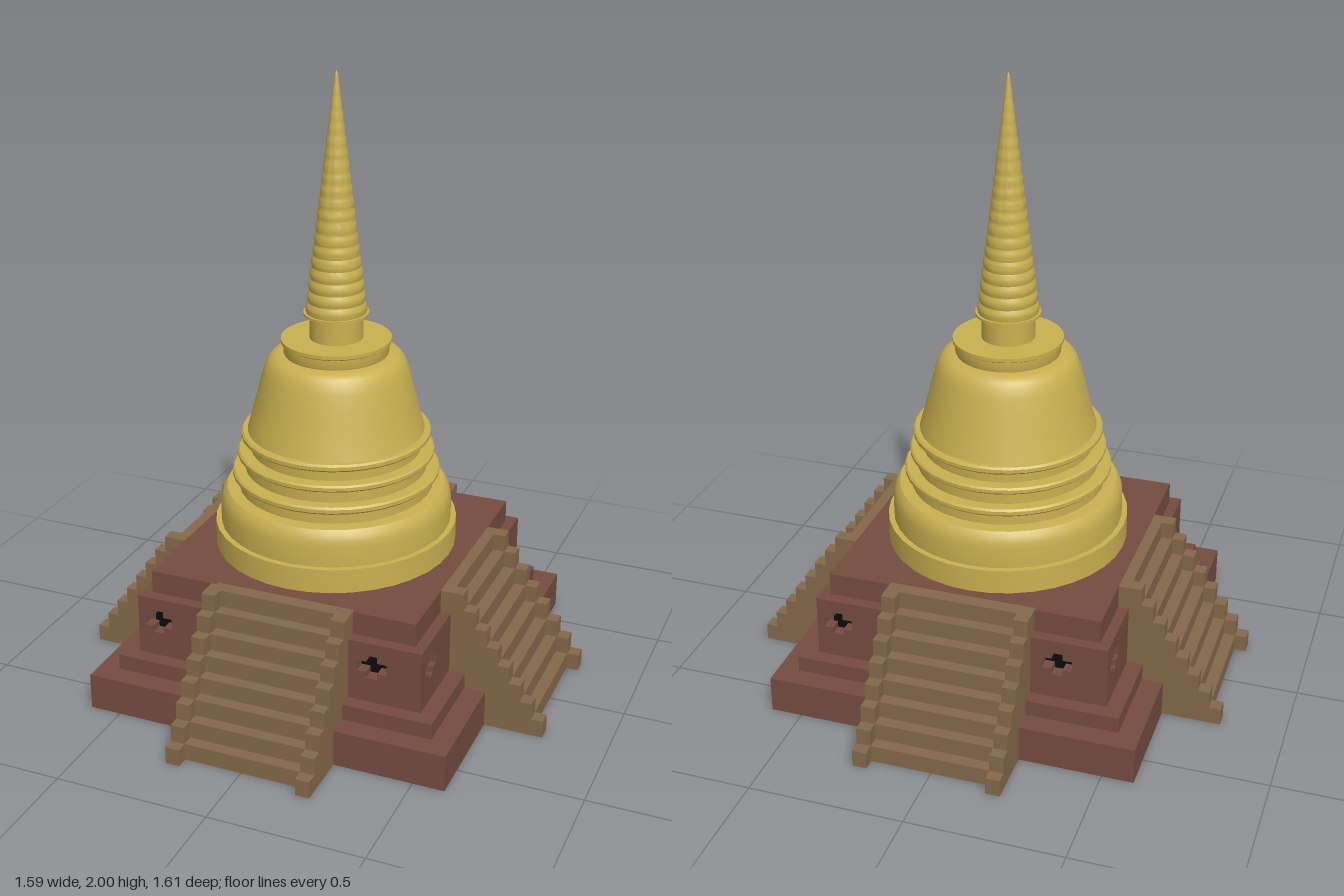
import * as THREE from 'three';
import { toCreasedNormals } from 'three/addons/utils/BufferGeometryUtils.js';

const material = (color) => new THREE.MeshStandardMaterial({ color });
const gold = material(0xc8b050);
const brick = material(0x744c40);
const wood = material(0x84684a);
const dark = material(0x0c0c0c);

function add(parent, name, geometry, mat, x = 0, y = 0, z = 0) {
  const mesh = new THREE.Mesh(geometry, mat);
  mesh.name = name;
  mesh.position.set(x, y, z);
  parent.add(mesh);
  return mesh;
}

function tier(parent, name, halfX, halfZ, y0, y1, mat = brick) {
  return add(parent, name, new THREE.BoxGeometry(halfX * 2, y1 - y0, halfZ * 2), mat, 0, (y0 + y1) / 2, 0);
}

// Stepped side profile extruded across the flight; outward is +x
const STEPS = 8, RISE = 0.45 / STEPS, RUN = 0.0388, INNER = 0.447;
function stepped(outer, width) {
  const s = new THREE.Shape();
  s.moveTo(INNER, 0);
  for (let i = 0; i < STEPS; i++) {
    s.lineTo(outer - i * RUN, i * RISE);
    s.lineTo(outer - i * RUN, (i + 1) * RISE);
  }
  s.lineTo(INNER, STEPS * RISE);
  return new THREE.ExtrudeGeometry(s, { depth: width, bevelEnabled: false }).translate(0, 0, -width / 2);
}

function staircase(outer) {
  const g = new THREE.Group();
  g.name = 'staircase';
  add(g, 'treads', stepped(outer - RUN, 0.386), wood);
  for (const s of [-1, 1]) add(g, 'steppedRail', stepped(outer, 0.046), wood, 0, 0, s * 0.216);
  return g;
}

// Wall panel pierced by two cross-shaped openings, facing +z
function crossHole(cx, cy) {
  const a = 0.048, b = 0.039, t = 0.018;
  const pts = [[t, -b], [t, -t], [a, -t], [a, t], [t, t], [t, b], [-t, b], [-t, t], [-a, t], [-a, -t], [-t, -t], [-t, -b]];
  return new THREE.Path(pts.map(([x, y]) => new THREE.Vector2(cx + x, cy + y)));
}

function wallPanel(halfWidth, depth) {
  const s = new THREE.Shape();
  s.moveTo(-halfWidth, 0.17);
  s.lineTo(halfWidth, 0.17);
  s.lineTo(halfWidth, 0.375);
  s.lineTo(-halfWidth, 0.375);
  s.closePath();
  s.holes.push(crossHole(-0.41, 0.293), crossHole(0.32, 0.293));
  return new THREE.ExtrudeGeometry(s, { depth, bevelEnabled: false });
}

function turned(profile) {
  const pts = profile.map(([r, y]) => new THREE.Vector2(r, y));
  return toCreasedNormals(new THREE.LatheGeometry(pts, 36), 0.5);
}

export function createModel() {
  const model = new THREE.Group();
  model.name = 'stupa';

  // Square terraces
  const base = new THREE.Group();
  base.name = 'terracedBase';
  model.add(base);
  tier(base, 'lowerTerrace', 0.602, 0.616, 0, 0.12);
  tier(base, 'middleTerrace', 0.533, 0.546, 0.12, 0.172);
  tier(base, 'recessBacking', 0.441, 0.457, 0.17, 0.372, dark);
  tier(base, 'topTerrace', 0.447, 0.46, 0.37, 0.45);

  // Walls and stairs on all four sides
  const halfX = 0.481, halfZ = 0.498, depth = 0.04;
  for (let i = 0; i < 4; i++) {
    const alongX = i % 2 === 0;
    const side = new THREE.Group();
    side.name = ['frontSide', 'leftSide', 'backSide', 'rightSide'][i];
    side.rotation.y = i * Math.PI / 2;
    base.add(side);
    add(side, 'piercedWall', wallPanel(alongX ? halfX : halfZ - depth, depth), brick,
      0, 0, (alongX ? halfZ : halfX) - depth);
    const stairs = staircase(alongX ? 0.803 : 0.793);
    stairs.rotation.y = -Math.PI / 2;
    stairs.position.x = [0.004, 0.008, -0.004, -0.008][i];
    side.add(stairs);
  }

  // Round body, slightly deeper than wide
  const tower = new THREE.Group();
  tower.name = 'tower';
  tower.position.set(-0.003, 0, -0.006);
  tower.scale.z = 1.04;
  model.add(tower);

  add(tower, 'drum', turned([
    [0, 0.45], [0.394, 0.45], [0.394, 0.53], [0.376, 0.53], [0.376, 0.595],
    [0.373, 0.615], [0.366, 0.635], [0.355, 0.648], [0.316, 0.65], [0, 0.65],
  ]), gold);

  // Three ring mouldings, each a neck with a rounded lip
  const rings = [[0.316, 0.336, 0.645, 0.688, 0.712], [0.295, 0.318, 0.705, 0.755, 0.777], [0.276, 0.306, 0.77, 0.818, 0.842]];
  for (const [neck, lip, y0, y1, y2] of rings) {
    const e = (y2 - y1) * 0.25;
    add(tower, 'ringMoulding', turned([
      [neck, y0], [neck, y1], [lip - e, y1], [lip, y1 + e], [lip, y2 - e], [lip - e, y2], [0, y2],
    ]), gold);
  }

  add(tower, 'bell', turned([
    [0.286, 0.84], [0.273, 0.885], [0.259, 0.94], [0.245, 0.995], [0.233, 1.04],
    [0.224, 1.067], [0.213, 1.085], [0.2, 1.096], [0.185, 1.1], [0, 1.1],
  ]), gold);

  add(tower, 'collar', turned([
    [0.164, 1.095], [0.168, 1.105], [0.168, 1.133], [0.176, 1.138], [0.176, 1.15], [0, 1.15],
  ]), gold);
  add(tower, 'neck', turned([[0.085, 1.145], [0.085, 1.235]]), gold);
  add(tower, 'spireFoot', turned([[0, 1.228], [0.104, 1.228], [0.104, 1.236], [0, 1.236]]), gold);

  // Tapering spire of stacked rounded rings
  const spire = [];
  const count = 20, y0 = 1.234, height = 1.995 - y0;
  for (let i = 0; i < count; i++) {
    for (let k = 0; k < 5; k++) {
      const t = (i + k / 5) / count;
      const r = 0.096 * (1 - t) + 0.004;
      spire.push([r * (0.95 + 0.05 * Math.sin(Math.PI * k / 5)), y0 + height * t]);
    }
  }
  spire.push([0, 2]);
  add(tower, 'spire', turned(spire), gold);

  return model;
}
